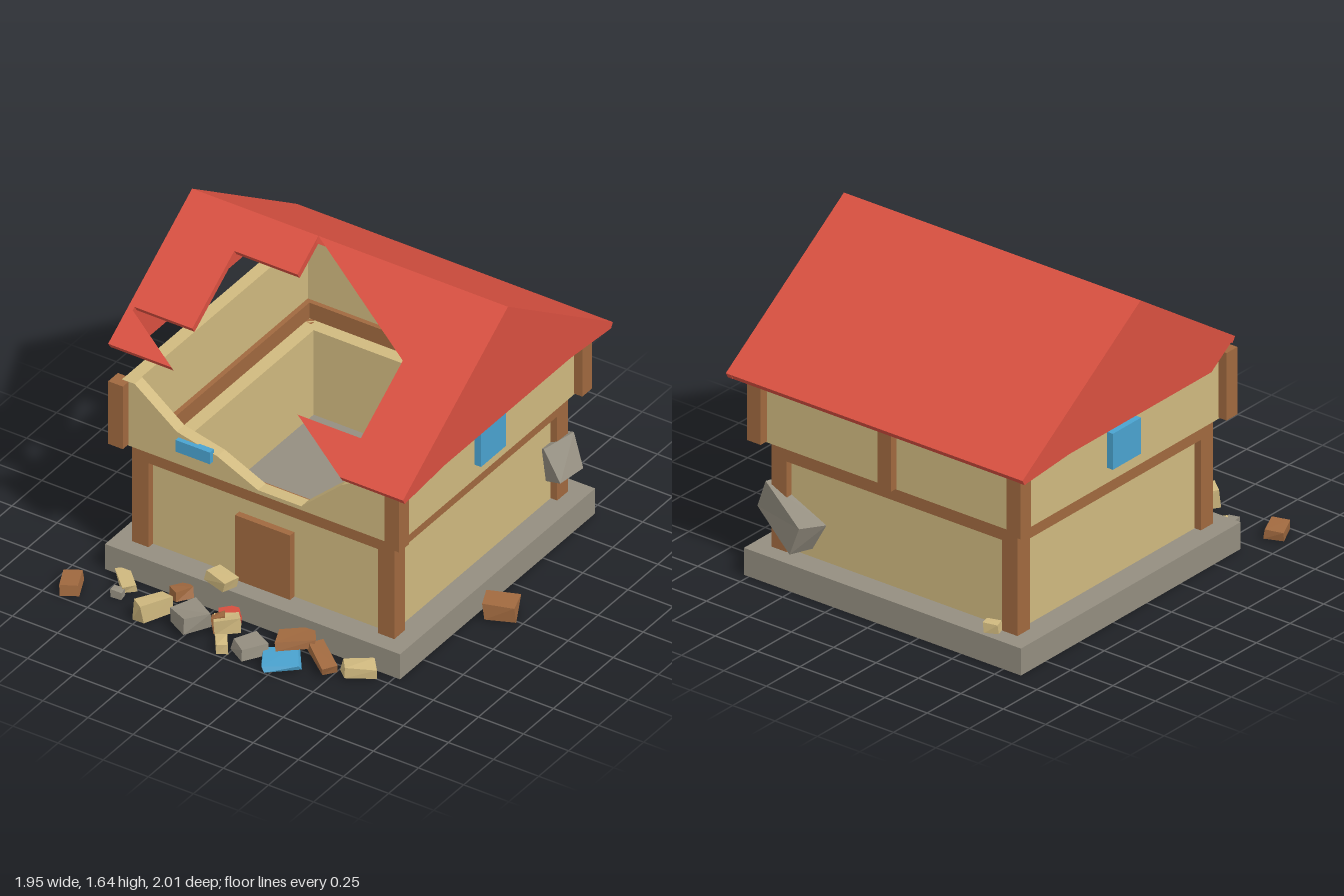
import * as THREE from 'three';

const mat = (name, color, side = THREE.FrontSide) => {
  const m = new THREE.MeshStandardMaterial({ color, side, flatShading: true });
  m.name = name;
  return m;
};

export function createModel() {
  const red = mat('roofRed', 0xd95040);
  const tan = mat('plaster', 0xd0b97f);
  const wood = mat('wood', 0xa0693f);
  const stone = mat('stone', 0x948e80);
  const slab = mat('foundationStone', 0x948e80, THREE.DoubleSide);
  const blue = mat('windowBlue', 0x4aa3d0);

  const model = new THREE.Group();
  model.name = 'ruinedHouse';
  // The house is centred a little left of and behind the origin
  const house = new THREE.Group();
  house.name = 'house';
  house.position.set(-0.038, 0, -0.121);
  model.add(house);

  const add = (parent, name, geo, m) => {
    const mesh = new THREE.Mesh(geo, m);
    mesh.name = name;
    parent.add(mesh);
    return mesh;
  };
  // Box given by its limits
  const box = (name, m, x0, x1, y0, y1, z0, z1) => {
    const b = add(house, name, new THREE.BoxGeometry(x1 - x0, y1 - y0, z1 - z0), m);
    b.position.set((x0 + x1) / 2, (y0 + y1) / 2, (z0 + z1) / 2);
    return b;
  };
  const polygon = (pts) => new THREE.Shape(pts.map(([x, y]) => new THREE.Vector2(x, y)));
  const extrude = (pts, depth) =>
    new THREE.ExtrudeGeometry(polygon(pts), { depth, bevelEnabled: false });
  // Square ring of walls or beams, optionally open at the front
  const ring = (name, m, inner, outer, y0, y1, front = true) => {
    box(name + 'Back', m, -outer, outer, y0, y1, -outer, -inner);
    if (front) box(name + 'Front', m, -outer, outer, y0, y1, inner, outer);
    for (const s of [-1, 1]) {
      const xs = s > 0 ? [inner, outer] : [-outer, -inner];
      box(name + (s > 0 ? 'Left' : 'Right'), m, ...xs, y0, y1, -inner, inner);
    }
  };
  const cornerPosts = (name, inner, outer, y0, y1) => {
    for (const sx of [-1, 1]) for (const sz of [-1, 1]) {
      const c = (inner + outer) / 2, w = outer - inner;
      const p = add(house, name, new THREE.BoxGeometry(w, y1 - y0, w), wood);
      p.position.set(sx * c, (y0 + y1) / 2, sz * c);
    }
  };

  // Foundation, hollow underneath
  const base = box('foundation', slab, -0.817, 0.817, 0, 0.14, -0.815, 0.815);
  const idx = Array.from(base.geometry.index.array);
  base.geometry.setIndex(idx.filter((_, i) => i < 18 || i > 23));
  base.geometry.clearGroups();

  // Ground floor
  ring('lowerWall', tan, 0.6, 0.69, 0.14, 0.612);
  cornerPosts('lowerPost', 0.635, 0.726, 0.14, 0.612);
  ring('floorBeam', wood, 0.67, 0.726, 0.61, 0.7);
  box('door', wood, -0.157, 0.148, 0.14, 0.5, 0.68, 0.725);

  // Upper floor, with a broken front wall
  ring('upperWall', tan, 0.695, 0.76, 0.695, 1.052, false);
  cornerPosts('upperPost', 0.725, 0.806, 0.7, 1.05);
  box('backMiddlePost', wood, -0.04, 0.04, 0.7, 1.05, -0.8, -0.75);
  const broken = add(house, 'brokenFrontWall', extrude([
    [-0.76, 0.695], [0.76, 0.695], [0.76, 1.052], [0.73, 1.052], [0.633, 1.025],
    [0.458, 0.92], [0.233, 0.716], [-0.007, 0.716], [-0.232, 0.82], [-0.457, 0.873],
    [-0.69, 1.052], [-0.76, 1.052]], 0.065), tan);
  broken.position.z = 0.695;

  // Windows
  box('frontWindow', blue, -0.447, -0.257, 0.78, 0.845, 0.75, 0.785);
  for (const s of [-1, 1]) {
    const w = box('sideWindow', blue, -0.025, 0.025, 0.775, 0.962, -0.105, 0.105);
    w.position.x = s * 0.77;
  }

  // Roof: local origin in the middle of the ridge
  const roof = new THREE.Group();
  roof.name = 'roof';
  roof.position.set(-0.002, 1.64, -0.002);
  house.add(roof);
  const run = 0.877, drop = 0.585, len = Math.hypot(run, drop), col = 0.35;
  const slope = new THREE.Matrix4().makeBasis(
    new THREE.Vector3(1, 0, 0),
    new THREE.Vector3(0, -drop / len, run / len),
    new THREE.Vector3(0, -run / len, -drop / len));
  // Points are (column, fraction of the way down the slope)
  const roofPiece = (name, pts) => add(roof, name,
    extrude(pts.map(([c, t]) => [c * col, t * len]), 0.035).applyMatrix4(slope), red);
  roofPiece('backRoof', [[-2.5, 0], [2.5, 0], [2.5, 1], [-2.5, 1]]).rotation.y = Math.PI;
  roofPiece('frontRoofRight',
    [[-2.5, 0], [-0.5, 0], [-0.5, 0.2], [-1.5, 0.2], [-1.5, 0.6], [-2.5, 0.6]]);
  roofPiece('frontRoofShard', [[-2.5, 0.6], [-1.5, 0.8], [-2.5, 0.8]]);
  roofPiece('frontRoofLeft',
    [[-0.5, 0], [2.5, 0], [2.5, 1], [1.5, 1], [0.5, 0.8], [1.5, 0.8], [1.5, 0.4]]);

  // Gables; the one on the right has lost its front corner
  const backEdge = [[0, 0], [-run, -drop], [-0.862, -0.612], [-0.526, -drop], [0.526, -drop]];
  const gable = (name, x, frontEdge) => {
    const g = add(roof, name, extrude([...backEdge, ...frontEdge], 0.03), red);
    g.rotation.y = -Math.PI / 2;
    g.position.x = x;
  };
  gable('leftGable', 0.875, [[0.862, -0.612], [run, -drop]]);
  gable('rightGable', -0.845, [[0.8 * run, -0.8 * drop]]);

  // Rubble: boxes with corners nudged by a seeded rule
  let seed = 7;
  const rnd = () => (seed = (seed * 16807) % 2147483647) / 2147483647 - 0.5;
  const chunk = (name, m, x, y, z, w, h, d, ry = 0, rz = 0, rx = 0) => {
    const geo = new THREE.BoxGeometry(w, h, d);
    const p = geo.attributes.position, nudge = {};
    for (let i = 0; i < p.count; i++) {
      const v = [p.getX(i), p.getY(i), p.getZ(i)];
      const n = (nudge[v.map(Math.sign).join()] ??= [rnd(), rnd(), rnd()]);
      p.setXYZ(i, v[0] + n[0] * w * 0.16, v[1] + n[1] * h * 0.16, v[2] + n[2] * d * 0.16);
    }
    geo.computeVertexNormals();
    const c = add(model, name, geo, m);
    c.position.set(x, y, z);
    c.rotation.set(rx, ry, rz);
  };
  // material, x, y, z, width, height, depth, turn, tilt
  const rubble = [
    [wood, -0.9, 0.03, 0.91, 0.1, 0.05, 0.14, 0.45, 0.05],
    [tan, -0.7, 0.03, 0.75, 0.17, 0.035, 0.07, -0.8, 0.05],
    [stone, -0.68, 0.025, 0.85, 0.055, 0.04, 0.045, 0.1, 0],
    [wood, -0.4, 0.07, 0.74, 0.07, 0.05, 0.09, -0.5, 0.2],
    [tan, -0.455, 0.055, 0.9, 0.075, 0.09, 0.16, -0.45, 0.1],
    [stone, -0.255, 0.07, 0.89, 0.14, 0.08, 0.16, -0.5, 0.08],
    [tan, -0.22, 0.18, 0.68, 0.13, 0.055, 0.08, -0.25, -0.05],
    [red, -0.14, 0.035, 0.73, 0.1, 0.05, 0.07, 0.6, 0.1],
    [wood, -0.13, 0.055, 0.83, 0.07, 0.08, 0.05, 0.6, 0.2],
    [tan, -0.09, 0.06, 0.82, 0.12, 0.07, 0.07, 0.6, 0.1],
    [tan, -0.045, 0.03, 0.945, 0.055, 0.05, 0.09, 0.6, 0],
    [stone, 0.08, 0.035, 0.89, 0.12, 0.06, 0.14, -0.55, 0.03],
    [blue, 0.25, 0.03, 0.89, 0.18, 0.025, 0.17, 0.6, 0.07],
    [wood, 0.25, 0.07, 0.77, 0.17, 0.04, 0.11, 0.6, 0.1],
    [wood, 0.42, 0.05, 0.8, 0.19, 0.04, 0.08, -0.65, -0.1],
    [tan, 0.6, 0.035, 0.77, 0.15, 0.055, 0.09, 0.6, 0],
    [wood, 0.88, 0.05, 0, 0.16, 0.085, 0.12, 0.4, 0],
    [tan, -0.64, 0.165, -0.875, 0.07, 0.05, 0.06, 0.3, 0],
  ];
  for (const [m, ...dims] of rubble) chunk('rubble', m, ...dims);
  // Large stone leaning on the back left corner
  chunk('leaningStone', stone, 0.6, 0.325, -0.815, 0.33, 0.17, 0.17, -0.36, 0.42, 0.1);

  return model;
}
